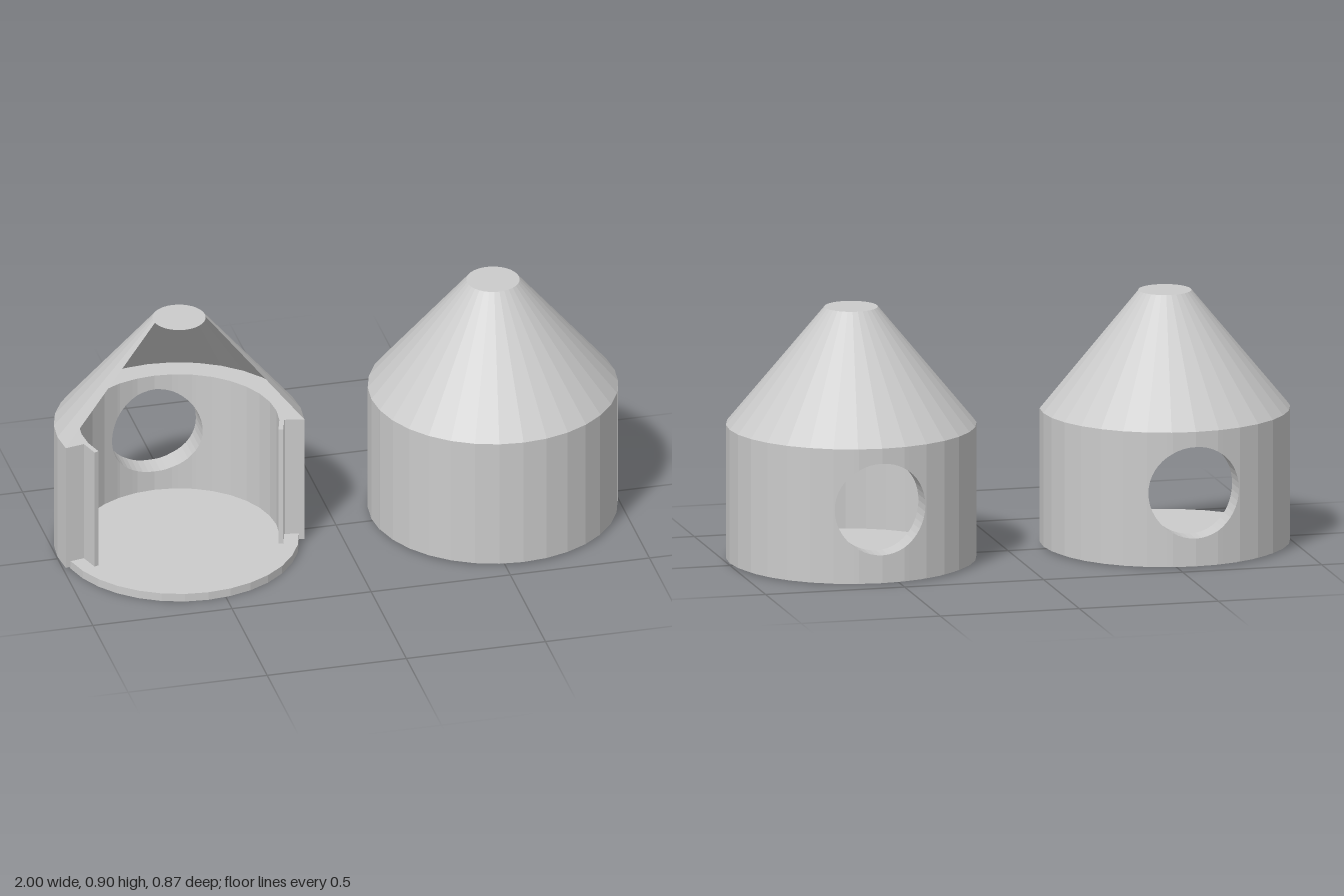
import * as THREE from 'three';

const STEP = Math.PI / 16;            // 32-sided round parts
const OUTER = 0.437, INNER = 0.35, RABBET = 0.367;
const BOTTOM = 0.008, TOP = 0.483, PEAK = 0.9, CAP_R = 0.093;
const HOLE_R = 0.163, HOLE_Y = 0.266;
const END = 9 * STEP;                 // wall end, angle measured from the back

const material = new THREE.MeshStandardMaterial({
  color: 0xcccccc, flatShading: true, side: THREE.DoubleSide,
});

function add(group, name, geometry, y = 0) {
  const mesh = new THREE.Mesh(geometry, material);
  mesh.name = name;
  mesh.position.y = y;
  group.add(mesh);
  return mesh;
}

// Radius of the 32-sided polygon at an angle
function polyRadius(r, a) {
  const offset = Math.abs(a) % STEP - STEP / 2;
  return r * Math.cos(STEP / 2) / Math.cos(offset);
}

// Angle at which the polygon has the given x
function angleAtX(r, x) {
  let a = Math.asin(x / r);
  for (let i = 0; i < 6; i++) a = Math.asin(x / polyRadius(r, a));
  return a;
}

// Angles across the wall: plain facets at the sides, fine columns over the hole
function wallColumns(r) {
  const n = 24, edge = angleAtX(r, HOLE_R) + 0.004;
  const side = [];
  for (let i = 2; i <= 9; i++) side.push({ a: Math.max(i * STEP, edge), h: 0 });
  const hole = [];
  for (let i = 0; i <= n; i++) {
    const t = Math.PI * i / n;
    hole.push({ a: angleAtX(r, -HOLE_R * Math.cos(t)), h: HOLE_R * Math.sin(t), hole: true });
  }
  return [...side.map(c => ({ a: -c.a, h: 0 })).reverse(), ...hole, ...side];
}

// Thick curved wall with a round entrance bored straight through the back
function wallGeometry() {
  const pos = [];
  const quad = (a, b, c, d) => pos.push(...a, ...b, ...c, ...a, ...c, ...d);
  const point = (r, a, y) => {
    const p = polyRadius(r, a);
    return [p * Math.sin(a), y, -p * Math.cos(a)];
  };
  const out = wallColumns(OUTER), inn = wallColumns(INNER);
  for (let i = 0; i + 1 < out.length; i++) {
    const o = [out[i], out[i + 1]], n = [inn[i], inn[i + 1]];
    const P = (k, y) => point(OUTER, o[k].a, y), Q = (k, y) => point(INNER, n[k].a, y);
    const skin = (lo, hi) => {
      quad(P(1, lo(1)), P(0, lo(0)), P(0, hi(0)), P(1, hi(1)));
      quad(Q(0, lo(0)), Q(1, lo(1)), Q(1, hi(1)), Q(0, hi(0)));
    };
    const below = k => HOLE_Y - o[k].h, above = k => HOLE_Y + o[k].h;
    if (o[0].hole && o[1].hole) {
      skin(() => BOTTOM, below);
      skin(above, () => TOP);
      // tunnel of the entrance
      quad(P(1, below(1)), P(0, below(0)), Q(0, below(0)), Q(1, below(1)));
      quad(P(0, above(0)), P(1, above(1)), Q(1, above(1)), Q(0, above(0)));
    } else skin(() => BOTTOM, () => TOP);
    quad(P(0, TOP), Q(0, TOP), Q(1, TOP), P(1, TOP));
    quad(P(1, BOTTOM), Q(1, BOTTOM), Q(0, BOTTOM), P(0, BOTTOM));
  }
  // end faces
  for (const s of [-1, 1]) {
    const f = [point(OUTER, s * END, BOTTOM), point(OUTER, s * END, TOP),
      point(INNER, s * END, TOP), point(INNER, s * END, BOTTOM)];
    quad(...(s > 0 ? f : f.reverse()));
  }
  const g = new THREE.BufferGeometry();
  g.setAttribute('position', new THREE.Float32BufferAttribute(pos, 3));
  g.computeVertexNormals();
  return g;
}

// Ring segment from facet i0 to facet i1, counted from the back
function sectorGeometry(r0, r1, i0, i1) {
  const pts = [];
  const put = (r, i) => pts.push(new THREE.Vector2(r * Math.sin(i * STEP), r * Math.cos(i * STEP)));
  for (let i = i0; i <= i1; i++) put(r1, i);
  for (let i = i1; i >= i0; i--) put(r0, i);
  const g = new THREE.ExtrudeGeometry(new THREE.Shape(pts), { depth: TOP - BOTTOM, bevelEnabled: false });
  return g.rotateX(-Math.PI / 2);
}

function house(name, x, closed) {
  const group = new THREE.Group();
  group.name = name;
  group.position.x = x;

  add(group, 'floor', new THREE.CylinderGeometry(0.418, 0.418, 0.03, 32), 0.015);
  add(group, 'wall', wallGeometry());

  // thin lips that the front panel rests on
  add(group, 'leftLip', sectorGeometry(INNER, RABBET, 9, 10), BOTTOM);
  add(group, 'rightLip', sectorGeometry(INNER, RABBET, 22, 23), BOTTOM);
  if (closed) add(group, 'frontPanel', sectorGeometry(RABBET + 0.002, OUTER - 0.002, 9, 23), BOTTOM);

  // thin conical roof, open at the front on the cutaway house
  const start = closed ? 0 : Math.PI - END;
  const length = closed ? Math.PI * 2 : END * 2;
  add(group, 'roof', new THREE.CylinderGeometry(CAP_R, OUTER, PEAK - TOP,
    closed ? 32 : 18, 1, true, start, length), (PEAK + TOP) / 2);
  add(group, 'roofCap', new THREE.CircleGeometry(CAP_R, 32).rotateX(-Math.PI / 2), PEAK);
  return group;
}

export function createModel() {
  const model = new THREE.Group();
  model.name = 'birdhouses';
  model.add(house('openHouse', -0.564, false), house('closedHouse', 0.564, true));
  return model;
}
